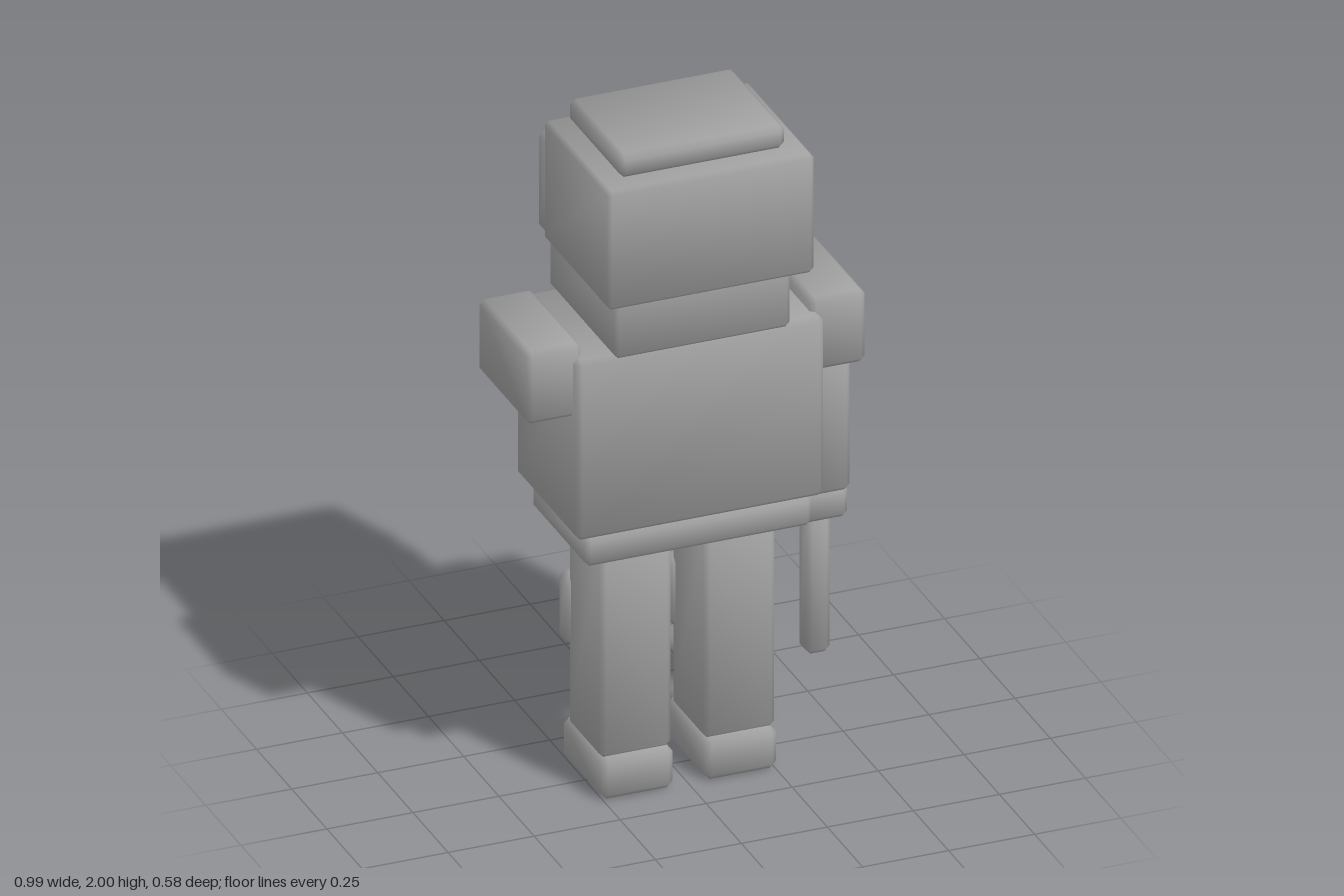
import * as THREE from 'three';
import { ConvexGeometry } from 'three/addons/geometries/ConvexGeometry.js';

// Box with chamfered edges and soft normals that lean outward at the corners
function chamferBox(w, h, d, b) {
  const half = [w / 2, h / 2, d / 2];
  const points = [];
  for (let axis = 0; axis < 3; axis++)
    for (const sx of [-1, 1]) for (const sy of [-1, 1]) for (const sz of [-1, 1]) {
      const p = [sx, sy, sz].map((s, i) => s * (half[i] - (i === axis ? 0 : b)));
      points.push(new THREE.Vector3(...p));
    }
  const geometry = new ConvexGeometry(points);
  const pos = geometry.attributes.position;
  const n = new THREE.Vector3();
  for (let i = 0; i < pos.count; i++) {
    const p = [pos.getX(i), pos.getY(i), pos.getZ(i)];
    n.set(...p.map((v, k) => Math.sign(v) * (Math.abs(v) > half[k] - b / 2 ? 0.85 : 0.37))).normalize();
    geometry.attributes.normal.setXYZ(i, n.x, n.y, n.z);
  }
  return geometry;
}

export function createModel() {
  const model = new THREE.Group();
  model.name = 'blockFigure';
  const grey = new THREE.MeshStandardMaterial({ color: 0xa0a0a0 });
  grey.name = 'grey';

  // Each part is given by its extents along x, y and z
  function part(name, [x0, x1], [y0, y1], [z0, z1], bevel = 0.015) {
    const mesh = new THREE.Mesh(chamferBox(x1 - x0, y1 - y0, z1 - z0, bevel), grey);
    mesh.position.set((x0 + x1) / 2, (y0 + y1) / 2, (z0 + z1) / 2);
    mesh.name = name;
    model.add(mesh);
  }

  // Head
  part('headTop', [-0.24, 0.24], [1.93, 2.0], [-0.145, 0.23]);
  part('head', [-0.3, 0.3], [1.57, 1.93], [-0.175, 0.29], 0.012);
  part('headBack', [-0.27, 0.27], [1.54, 1.84], [-0.295, -0.175], 0.018);
  part('jaw', [-0.255, 0.255], [1.385, 1.62], [-0.245, 0.23], 0.012);

  // Body
  part('torso', [-0.36, 0.36], [0.845, 1.39], [-0.22, 0.215], 0.015);
  part('backPanel', [-0.24, 0.24], [0.94, 1.295], [-0.245, -0.21], 0.012);
  part('belt', [-0.33, 0.33], [0.755, 0.845], [-0.185, 0.205]);

  // Mirrored limbs
  for (const [side, s] of [['left', 1], ['right', -1]]) {
    const span = (a, b) => (s > 0 ? [a, b] : [-b, -a]);
    part(side + 'Shoulder', span(0.333, 0.493), [1.21, 1.43], [-0.17, 0.185]);
    part(side + 'Leg', span(0.047, 0.255), [0.12, 0.755], [-0.11, 0.125]);
    part(side + 'Foot', span(0.045, 0.255), [0, 0.125], [-0.155, 0.14], 0.018);
    part(side + 'CalfPad', span(0.03, 0.268), [0.365, 0.575], [-0.155, -0.08], 0.018);
  }

  // The single lower arm, its hand and the rod it holds
  part('leftForearm', [0.35, 0.478], [0.79, 1.21], [-0.095, 0.115]);
  part('leftHand', [0.347, 0.478], [0.7, 0.795], [-0.08, 0.097]);
  part('rod', [0.375, 0.445], [0.275, 0.71], [-0.02, 0.053]);

  return model;
}
